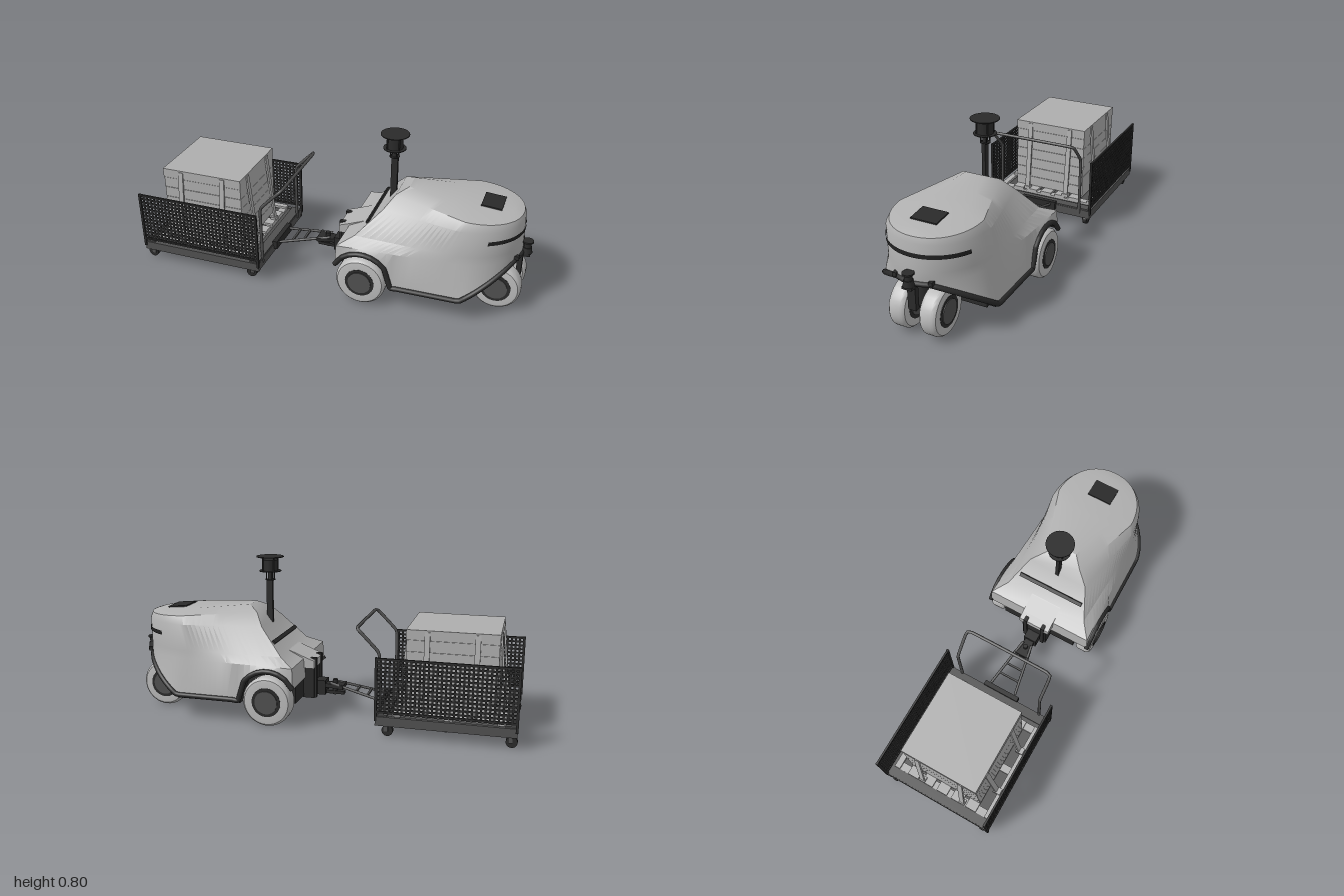
import * as THREE from 'three';
import { toCreasedNormals } from 'three/addons/utils/BufferGeometryUtils.js';

const paint = (name, color) => Object.assign(new THREE.MeshStandardMaterial({ color }), { name });
const V = (x, y, z) => new THREE.Vector3(x, y, z);

export function createModel() {
  const shellMat = paint('shell grey', 0xb2b2b2);
  const tireMat = paint('tire grey', 0xbcbcbc);
  const crateMat = paint('crate grey', 0xaeaeae);
  const black = paint('black', 0x2a2a2a);
  const steel = paint('dark steel', 0x505050);
  const bandMat = paint('window black', 0x222222);
  bandMat.side = THREE.DoubleSide;

  const root = new THREE.Group();
  const group = (name) => {
    const g = new THREE.Group();
    g.name = name;
    root.add(g);
    return g;
  };
  const add = (parent, name, geo, mat, x = 0, y = 0, z = 0) => {
    const m = new THREE.Mesh(geo, mat);
    m.name = name;
    m.position.set(x, y, z);
    parent.add(m);
    return m;
  };
  const box = (p, name, mat, w, h, d, x, y, z) => add(p, name, new THREE.BoxGeometry(w, h, d), mat, x, y, z);
  const cyl = (p, name, mat, r, h, x, y, z, r2 = r) => add(p, name, new THREE.CylinderGeometry(r2, r, h, 24), mat, x, y, z);
  const tube = (p, name, mat, pts, r, tension = 0.15) =>
    add(p, name, new THREE.TubeGeometry(new THREE.CatmullRomCurve3(pts, false, 'catmullrom', tension), pts.length * 6, r, 10), mat);

  // ---------- tractor shell: horizontal rings stacked from sill to roof ----------
  const tractor = group('tractor');
  const N = 44;
  const wheelX = 0.213;
  // rear x, front x, rear half width, widest half width, where it is widest, roundness, rear y, front y
  const rings = [
    [0.08, 0.94, 0.292, 0.285, 0.72, 1.65, 0.12, 0.12],
    [0.085, 0.942, 0.285, 0.255, 0.66, 1.9, 0.3, 0.302],
    [0.16, 0.94, 0.225, 0.247, 0.62, 2, 0.338, 0.345],
    [0.28, 0.937, 0.16, 0.236, 0.58, 2.15, 0.47, 0.475],
    [0.325, 0.928, 0.1, 0.212, 0.6, 2.1, 0.53, 0.502],
    [0.38, 0.89, 0.05, 0.11, 0.5, 2, 0.559, 0.515],
  ];
  const ringPoint = (i, t) => {
    const [xr, xf, zr, zm, tm, p, yr, yf] = rings[i];
    const x = xr + (xf - xr) * t;
    const u = Math.max(0, (t - tm) / (1 - tm));
    const z = t < tm ? zr + (zm - zr) * (t / tm) : zm * Math.pow(Math.max(0, 1 - Math.pow(u, p)), 1 / p);
    let y = yr + (yf - yr) * t;
    if (i === 0) {
      // sill climbs over the rear wheel and up to the nose
      const d = x - wheelX;
      if (Math.abs(d) < 0.15) y = Math.max(y, 0.128 + Math.sqrt(0.15 * 0.15 - d * d));
      y += 0.165 * Math.min(1, u * 1.08);
    }
    return V(x, y, z);
  };
  const loop = (i) => Array.from({ length: 2 * N + 1 }, (_, k) => {
    const j = k <= N ? k : 2 * N - k;
    const v = ringPoint(i, 1 - Math.pow(1 - j / N, 2));
    if (k > N) v.z *= -1;
    return v;
  });
  const loops = rings.map((_, i) => loop(i));
  const meshFrom = (tris) => new THREE.BufferGeometry().setFromPoints(tris);
  const cap = (ring, up) => {
    const tris = [];
    for (let j = 0; j < N; j++) {
      const a = ring[j], b = ring[j + 1], c = ring[2 * N - j - 1], d = ring[2 * N - j];
      const t = j < N - 1 ? [a, b, c, a, c, d] : [a, b, d];
      tris.push(...(up ? t : t.reverse()));
    }
    return tris;
  };
  const shell = cap(loops[loops.length - 1], true);
  for (let i = 0; i < loops.length - 1; i++) {
    const lo = loops[i], hi = loops[i + 1];
    for (let k = 0; k < lo.length; k++) {
      const n = (k + 1) % lo.length;
      shell.push(lo[k], lo[n], hi[n], lo[k], hi[n], hi[k]);
    }
  }
  add(tractor, 'bodyShell', toCreasedNormals(meshFrom(shell), 0.5), shellMat);
  add(tractor, 'underside', toCreasedNormals(meshFrom(cap(loops[0], false)), 0.4), black);
  tube(tractor, 'bumperRail', black, loops[0], 0.013);

  // dark window strip wrapped round the nose
  const strip = [];
  const stripPoint = (s, k) => {
    const t = 1 - 0.2 * s * s;
    const v = ringPoint(2, t).lerp(ringPoint(3, t), k);
    return V(v.x + 0.004, v.y, (v.z + 0.003 * Math.abs(s)) * Math.sign(s));
  };
  for (let i = 0; i < 40; i++) {
    const s = 1 - i / 20, n = 1 - (i + 1) / 20;
    const a = stripPoint(s, 0.5), b = stripPoint(n, 0.5), c = stripPoint(n, 0.66), d = stripPoint(s, 0.66);
    strip.push(a, b, c, a, c, d);
  }
  add(tractor, 'noseStrip', toCreasedNormals(meshFrom(strip), 0.6), bandMat);
  box(tractor, 'roofHatch', black, 0.1, 0.008, 0.13, 0.78, 0.527, 0).rotation.z = -0.086;
  box(tractor, 'rearLightBar', black, 0.016, 0.02, 0.36, 0.212, 0.398, 0).rotation.z = -0.8;

  // chassis, rear hood and tow bracket
  box(tractor, 'chassis', black, 0.6, 0.17, 0.42, 0.39, 0.185, 0);
  box(tractor, 'floorPan', black, 0.34, 0.03, 0.54, 0.53, 0.115, 0);
  box(tractor, 'frontBulkhead', black, 0.03, 0.09, 0.47, 0.7, 0.14, 0);
  const hood = new THREE.Shape([[0.03, 0.25], [0.2, 0.25], [0.2, 0.362], [0.16, 0.34], [0.07, 0.304], [0.03, 0.29]].map(([x, y]) => new THREE.Vector2(x, y)));
  add(tractor, 'rearHood', new THREE.ExtrudeGeometry(hood, { depth: 0.17, bevelEnabled: false }), shellMat, 0, 0, -0.085);
  box(tractor, 'towBracket', black, 0.06, 0.19, 0.14, 0.065, 0.185, 0);
  for (const z of [-0.05, 0.05]) box(tractor, 'bracketRail', black, 0.03, 0.21, 0.02, 0.04, 0.195, z);

  // ---------- wheels ----------
  const wheel = (name, x, z, r) => {
    const g = new THREE.Group();
    g.name = name;
    const w = 0.0425;
    const profile = [[0.06, -w], [r - 0.025, -w], [r - 0.012, -w + 0.002], [r - 0.002, -w + 0.013], [r, -w + 0.02],
      [r, w - 0.02], [r - 0.002, w - 0.013], [r - 0.012, w - 0.002], [r - 0.025, w], [0.06, w]];
    const tire = new THREE.LatheGeometry(profile.map(([a, b]) => new THREE.Vector2(a, b)), 40).rotateX(Math.PI / 2);
    add(g, 'tire', toCreasedNormals(tire, 0.6), tireMat);
    cyl(g, 'hubRing', black, 0.074, 0.088, 0, 0, 0).rotation.x = Math.PI / 2;
    cyl(g, 'hub', steel, 0.058, 0.096, 0, 0, 0).rotation.x = Math.PI / 2;
    g.position.set(x, r, z);
    tractor.add(g);
  };
  for (const s of [-1, 1]) {
    wheel('rearWheel', wheelX, s * 0.263, 0.125);
    wheel('frontWheel', 0.845, s * 0.078, 0.12);
    box(tractor, 'bumperStud', black, 0.025, 0.02, 0.02, 0.925, 0.297, s * 0.09);
  }
  cyl(tractor, 'frontAxle', black, 0.02, 0.15, 0.845, 0.12, 0).rotation.x = Math.PI / 2;
  cyl(tractor, 'steeringColumn', black, 0.03, 0.15, 0.845, 0.2, 0);

  // ---------- nose sensor ----------
  const nose = group('noseSensor');
  box(nose, 'stem', black, 0.025, 0.13, 0.04, 0.935, 0.215, 0);
  box(nose, 'arm', black, 0.05, 0.012, 0.05, 0.955, 0.275, 0);
  cyl(nose, 'sensorBase', black, 0.026, 0.03, 0.962, 0.296, 0, 0.021);
  cyl(nose, 'sensorDrum', black, 0.018, 0.028, 0.962, 0.322, 0);
  cyl(nose, 'sensorCap', black, 0.027, 0.008, 0.962, 0.342, 0);

  // ---------- mast and scanner ----------
  const mast = group('mast');
  box(mast, 'post', black, 0.032, 0.27, 0.018, 0.288, 0.55, 0);
  for (const [name, r, h, y] of [['lowerDisc', 0.025, 0.004, 0.683], ['scannerNeck', 0.012, 0.05, 0.705],
    ['middleDisc', 0.056, 0.004, 0.728], ['scannerDrum', 0.04, 0.058, 0.757], ['topDisc', 0.07, 0.004, 0.801]])
    cyl(mast, name, black, r, h, 0.285, y, 0);
  for (let i = 0; i < 4; i++) {
    const a = Math.PI / 4 + i * Math.PI / 2, c = Math.cos(a), s = Math.sin(a);
    cyl(mast, 'spacer', black, 0.003, 0.046, 0.285 + c * 0.022, 0.705, s * 0.022);
    cyl(mast, 'capPost', black, 0.004, 0.075, 0.285 + c * 0.042, 0.764, s * 0.042);
  }

  // ---------- hitch and drawbar ----------
  const hitch = group('hitch');
  box(hitch, 'hitchTongue', black, 0.15, 0.016, 0.03, -0.035, 0.112, 0);
  box(hitch, 'hitchHead', black, 0.06, 0.075, 0.07, 0.015, 0.138, 0);
  cyl(hitch, 'hitchPin', black, 0.012, 0.08, -0.06, 0.14, 0);
  const jaw = new THREE.Shape([[-0.11, -0.045], [-0.02, -0.025], [0.02, -0.03], [0.02, 0.03], [-0.02, 0.025], [-0.11, 0.045]].map(([x, z]) => new THREE.Vector2(x, z)));
  add(hitch, 'coupler', new THREE.ExtrudeGeometry(jaw, { depth: 0.02, bevelEnabled: false }).rotateX(-Math.PI / 2), black, 0, 0.138, 0);
  for (const s of [-1, 1]) tube(hitch, 'drawbarRod', steel, [V(-0.325, 0.105, s * 0.075), V(-0.04, 0.165, s * 0.025)], 0.007);
  for (const [x, w] of [[-0.24, 0.12], [-0.18, 0.1]]) box(hitch, 'drawbarBrace', steel, 0.01, 0.01, w, x, 0.105 + (x + 0.325) * 0.21, 0);
  box(hitch, 'drawbarPlate', black, 0.025, 0.045, 0.2, -0.325, 0.1, 0);

  // ---------- cart ----------
  const cart = group('cart');
  const cx = -0.66;
  box(cart, 'deck', steel, 0.64, 0.02, 0.58, cx, 0.09, 0);
  box(cart, 'deckBottom', black, 0.62, 0.01, 0.57, cx, 0.075, 0);
  for (const s of [-1, 1]) {
    box(cart, 'sideRail', steel, 0.66, 0.045, 0.02, cx, 0.08, s * 0.288);
    box(cart, 'endRail', steel, 0.02, 0.045, 0.58, cx + s * 0.318, 0.08, 0);
    box(cart, 'endLip', steel, 0.05, 0.012, 0.58, cx + s * 0.3, 0.104, 0);
  }
  box(cart, 'longBeam', steel, 0.62, 0.025, 0.02, cx, 0.062, 0);
  box(cart, 'crossBeam', steel, 0.02, 0.025, 0.56, cx, 0.062, 0);

  // mesh side panels
  for (const s of [-1, 1]) {
    const z = s * 0.298;
    for (let i = 0; i <= 32; i++) box(cart, 'meshUpright', black, 0.009, 0.27, 0.004, cx - 0.325 + i * 0.0203, 0.255, z);
    for (let i = 0; i <= 13; i++) box(cart, 'meshWire', black, 0.65, 0.009, 0.004, cx, 0.125 + i * 0.02, z);
    for (const y of [0.127, 0.386]) box(cart, 'panelRail', black, 0.665, 0.01, 0.01, cx, y, z);
    for (const e of [-1, 1]) box(cart, 'panelPost', black, 0.012, 0.31, 0.012, cx + e * 0.327, 0.237, z);
    // casters
    for (const e of [-1, 1]) {
      const x = cx + e * 0.29 - 0.015, zc = s * 0.26;
      cyl(cart, 'casterWheel', black, 0.027, 0.022, x, 0.027, zc).rotation.x = Math.PI / 2;
      for (const f of [-1, 1]) box(cart, 'casterFork', steel, 0.02, 0.04, 0.004, x + 0.006, 0.044, zc + f * 0.015);
      cyl(cart, 'casterSwivel', steel, 0.022, 0.012, x + 0.012, 0.063, zc);
    }
  }
  // push handle
  const hx = -0.335;
  tube(cart, 'pushHandle', steel, [V(hx, 0.08, 0.235), V(hx, 0.38, 0.235), V(hx + 0.012, 0.41, 0.235), V(-0.24, 0.495, 0.235),
    V(-0.222, 0.51, 0.21), V(-0.222, 0.51, -0.21), V(-0.24, 0.495, -0.235), V(hx + 0.012, 0.41, -0.235), V(hx, 0.38, -0.235), V(hx, 0.08, -0.235)], 0.008, 0.2);

  // ---------- pallet and crate ----------
  const load = group('load');
  const lx = -0.672;
  for (const z of [-0.265, -0.17, -0.085, 0, 0.085, 0.17, 0.265])
    box(load, 'palletBoard', crateMat, 0.53, 0.014, Math.abs(z) > 0.2 ? 0.03 : 0.06, lx, 0.117, z);
  for (const x of [-0.245, 0, 0.245]) box(load, 'palletBearer', crateMat, 0.04, 0.012, 0.54, lx + x, 0.106, 0);
  box(load, 'crateCore', steel, 0.424, 0.37, 0.394, lx, 0.308, 0);
  for (let i = 0; i < 6; i++) box(load, 'cratePlank', crateMat, 0.432, 0.0545, 0.402, lx, 0.152 + i * 0.0565, 0);
  box(load, 'crateLid', crateMat, 0.436, 0.048, 0.406, lx, 0.488, 0);
  // slanted straps on all four sides
  for (const s of [-1, 1]) for (const o of [-0.117, 0.117]) {
    box(load, 'sideStrap', crateMat, 0.026, 0.385, 0.009, lx + o, 0.312, s * 0.222).rotation.x = -s * 0.1;
    box(load, 'endStrap', crateMat, 0.009, 0.385, 0.026, lx + s * 0.237, 0.312, o).rotation.z = s * 0.1;
    box(load, 'sideFoot', crateMat, 0.034, 0.018, 0.04, lx + o, 0.128, s * 0.245);
    box(load, 'endFoot', crateMat, 0.03, 0.018, 0.034, lx + s * 0.25, 0.128, o);
  }
  return root;
}
